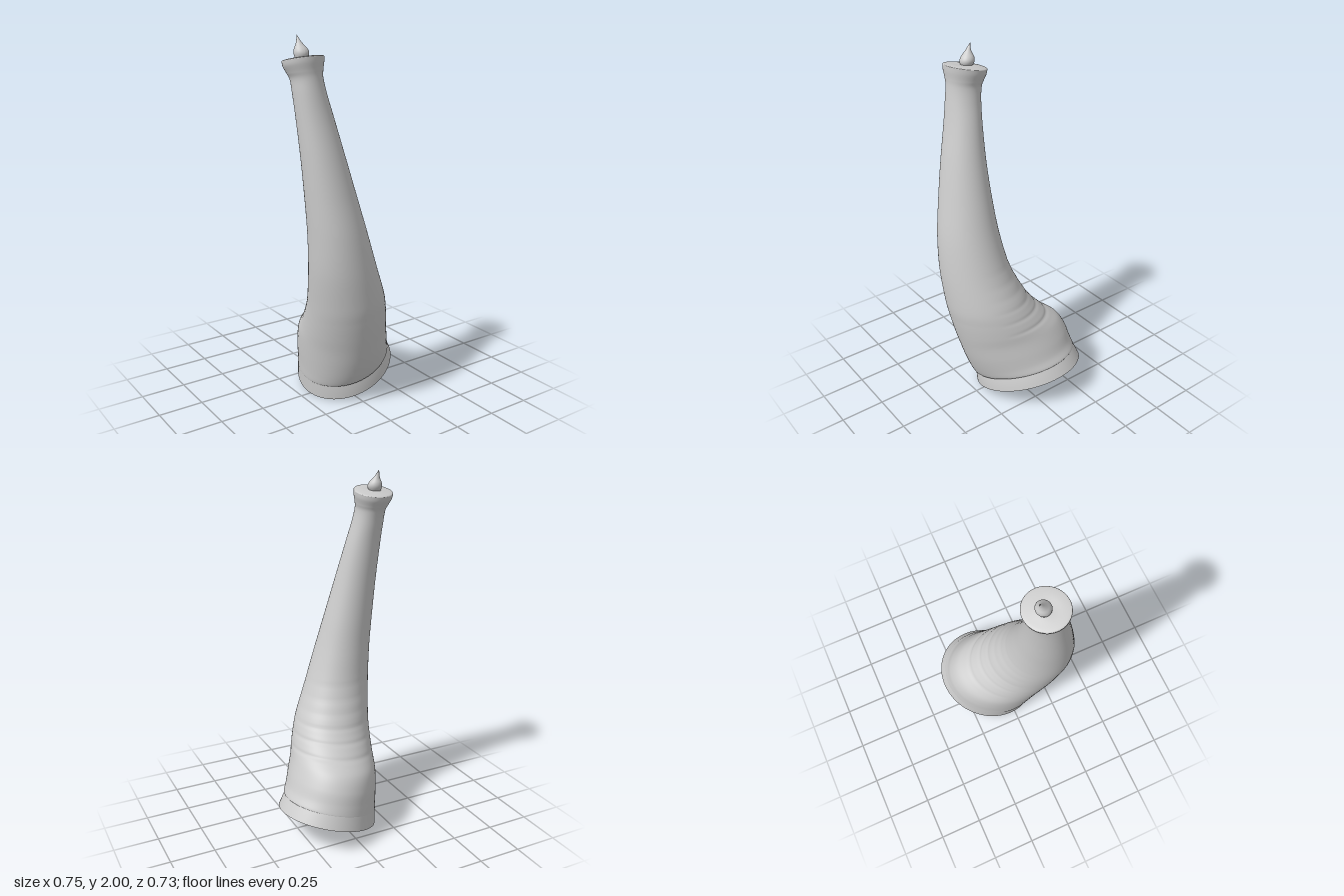
import * as THREE from 'three';

const SIDES = 72;
const material = new THREE.MeshStandardMaterial({ color: 0xcccccc, side: THREE.DoubleSide });

// Each ring: [y, xMin, xMax, zMin, zMax, slope of y along x, slope of y along z]
const LIP = [
  [0.097, -0.195, 0.375, -0.36, 0.23, 0.31, -0.11],
  [0.135, -0.198, 0.355, -0.348, 0.229, 0.30, -0.11],
  [0.172, -0.201, 0.334, -0.337, 0.225, 0.29, -0.11],
];
const BODY = [
  [0.172, -0.201, 0.334, -0.337, 0.225, 0.29, -0.11],
  [0.180, -0.205, 0.334, -0.336, 0.242, 0.29, -0.11],
  [0.225, -0.211, 0.312, -0.328, 0.265, 0.27, -0.10],
  [0.30, -0.222, 0.287, -0.313, 0.292, 0.23, -0.09],
  [0.38, -0.233, 0.258, -0.276, 0.315, 0.19, -0.07],
  [0.45, -0.243, 0.235, -0.205, 0.333, 0.14, -0.05],
  [0.53, -0.253, 0.207, -0.137, 0.349, 0.10, -0.03],
  [0.62, -0.264, 0.174, -0.081, 0.361, 0.06, -0.01],
  [0.80, -0.285, 0.100, -0.010, 0.365, 0, 0],
  [1.00, -0.298, 0.032, 0.025, 0.350, 0, 0],
  [1.20, -0.311, -0.026, 0.040, 0.315, 0, 0],
  [1.40, -0.323, -0.080, 0.045, 0.275, 0, 0],
  [1.60, -0.335, -0.130, 0.039, 0.230, 0, 0],
  [1.72, -0.342, -0.161, 0.027, 0.207, 0, 0.04],
  [1.79, -0.346, -0.174, 0.014, 0.196, 0.02, 0.1],
  [1.825, -0.360, -0.169, 0.000, 0.195, 0.03, 0.14],
  [1.86, -0.376, -0.160, -0.016, 0.198, 0.04, 0.18],
  [1.884, -0.380, -0.158, -0.022, 0.198, 0.04, 0.18],
];
const CAP = [
  [1.884, -0.380, -0.158, -0.022, 0.198, 0.04, 0.18],
  [1.890, -0.373, -0.165, -0.015, 0.191, 0.04, 0.18],
  [1.895, -0.33, -0.21, 0.03, 0.145, 0.04, 0.16],
  [1.896, -0.271, -0.269, 0.087, 0.089, 0, 0],
];

// Catmull-Rom between rings
function ringAt(rings, s) {
  const i = Math.min(Math.floor(s), rings.length - 2), f = s - i;
  const at = (k) => rings[Math.max(0, Math.min(rings.length - 1, k))];
  return rings[i].map((p1, k) => {
    const p0 = at(i - 1)[k], p2 = at(i + 1)[k], p3 = at(i + 2)[k];
    return p1 + 0.5 * f * (p2 - p0 + f * (2 * p0 - 5 * p1 + 4 * p2 - p3 + f * (3 * (p1 - p2) + p3 - p0)));
  });
}

// Shallow creases on the concave back of the bend
function crease(y, t) {
  const facing = Math.max(0, Math.cos(t + Math.PI / 3));
  let d = 0;
  for (let k = 0; k < 6; k++) {
    const u = (y - 0.455 - k * 0.075) / 0.012;
    d += Math.exp(-u * u) * (1 - k * 0.13);
  }
  return 1 - 0.022 * facing * d;
}

function loft(name, rings, steps, creased = false) {
  const pos = [], index = [], rows = (rings.length - 1) * steps;
  for (let r = 0; r <= rows; r++) {
    const [y, x0, x1, z0, z1, kx, kz] = ringAt(rings, r / steps);
    for (let j = 0; j < SIDES; j++) {
      const t = (j / SIDES) * Math.PI * 2;
      const m = creased ? crease(y, t) : 1;
      const dx = m * Math.cos(t) * (x1 - x0) / 2;
      const dz = m * Math.sin(t - 0.1) * (z1 - z0) / 2;
      pos.push((x0 + x1) / 2 + dx, y + kx * dx + kz * dz, (z0 + z1) / 2 + dz);
      if (r < rows) {
        const a = r * SIDES + j, b = r * SIDES + (j + 1) % SIDES;
        index.push(a, a + SIDES, b, b, a + SIDES, b + SIDES);
      }
    }
  }
  const g = new THREE.BufferGeometry();
  g.setAttribute('position', new THREE.Float32BufferAttribute(pos, 3));
  g.setIndex(index);
  g.computeVertexNormals();
  const mesh = new THREE.Mesh(g, material);
  mesh.name = name;
  return mesh;
}

// Teardrop bud whose tip leans backwards
function makeBud() {
  const profile = [[0.001, 0], [0.024, 0.002], [0.035, 0.018], [0.039, 0.036], [0.034, 0.054],
    [0.022, 0.072], [0.012, 0.09], [0.006, 0.106], [0.0005, 0.12]];
  const curve = new THREE.SplineCurve(profile.map(([r, y]) => new THREE.Vector2(r, y)));
  const points = curve.getPoints(32).map((p) => new THREE.Vector2(Math.max(p.x, 0.0003), p.y));
  const g = new THREE.LatheGeometry(points, 32);
  const p = g.attributes.position;
  for (let i = 0; i < p.count; i++) {
    const h = p.getY(i) / 0.12;
    p.setZ(i, p.getZ(i) - 0.03 * h * h);
    p.setX(i, p.getX(i) + 0.004 * Math.sin(h * 5));
  }
  g.computeVertexNormals();
  const bud = new THREE.Mesh(g, material);
  bud.name = 'tipBud';
  bud.position.set(-0.273, 1.88, 0.076);
  return bud;
}

export function createModel() {
  const group = new THREE.Group();
  group.name = 'curvedHorn';
  group.add(
    loft('openRim', LIP, 2),
    loft('hornBody', BODY, 12, true),
    loft('topCap', CAP, 4),
    makeBud(),
  );
  return group;
}
